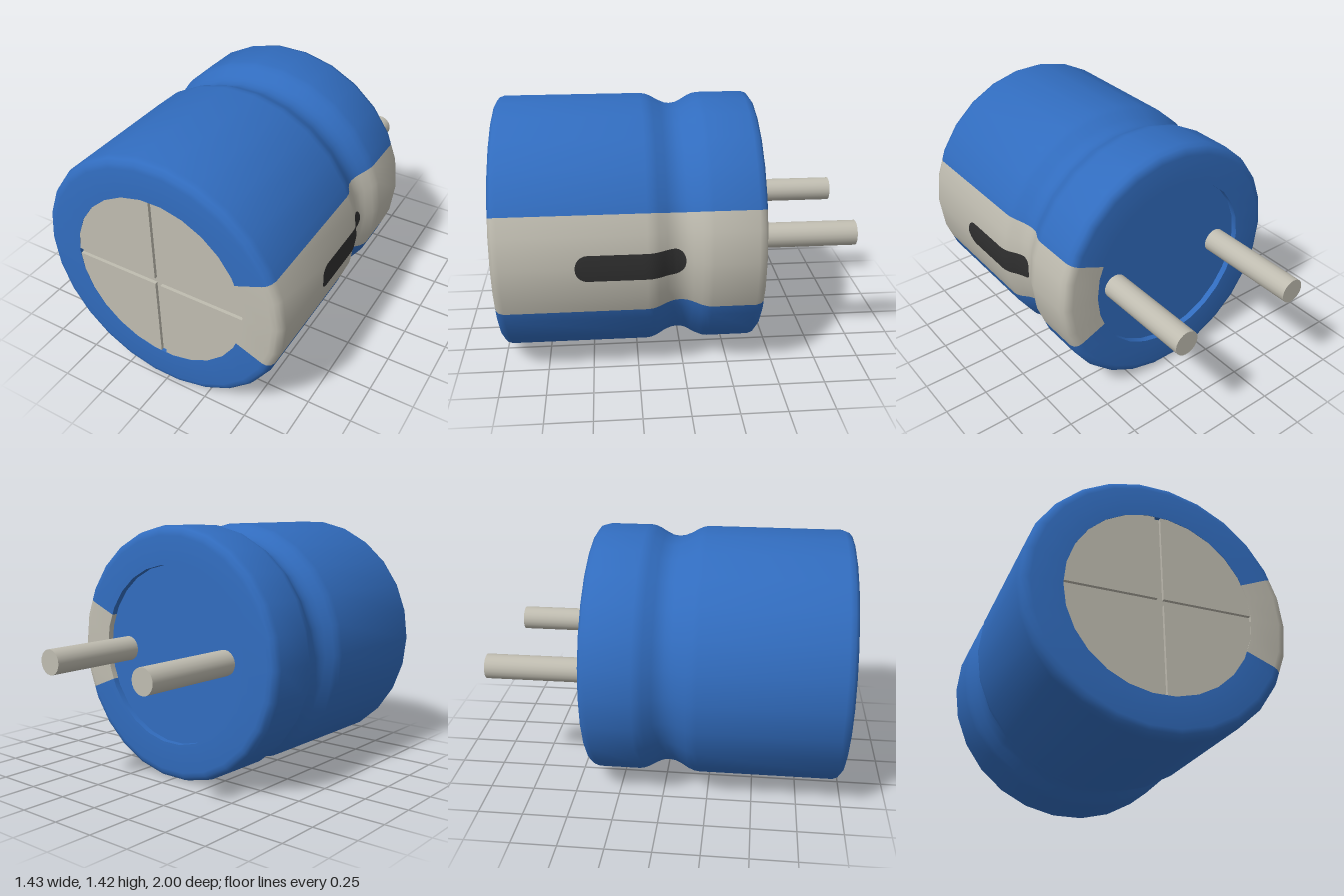
import * as THREE from 'three';
import { toCreasedNormals } from 'three/addons/utils/BufferGeometryUtils.js';

const SIDES = 26, STEP = (Math.PI * 2) / SIDES, R = 0.714, INNER = 0.5, HALF_STRIPE = Math.PI / 8;

// Sleeve outline as [radius, z], from the rear recess to the front opening
const PROFILE = [
  [INNER, -0.39], [INNER, -0.425], [0.66, -0.425], [0.685, -0.42], [0.704, -0.405], [R, -0.375],
  [R, -0.14], [0.71, -0.115], [0.698, -0.085], [0.672, -0.04], [0.658, -0.01], [0.653, 0.025],
  [0.658, 0.06], [0.672, 0.095], [0.698, 0.14], [0.71, 0.17], [R, 0.2],
  [R, 0.95], [0.704, 0.978], [0.685, 0.994], [0.66, 1], [INNER, 1], [INNER, 0.97],
];

// Keeps points between corners on the flat sides of the polygon
function flat(angle) {
  const a = ((angle % STEP) + STEP) % STEP;
  return Math.cos(STEP / 2) / Math.cos(a - STEP / 2);
}

function gridGeometry(rows, cols, point) {
  const pos = [], index = [];
  for (let i = 0; i < rows; i++) for (let j = 0; j < cols; j++) pos.push(...point(i, j));
  for (let i = 0; i < rows - 1; i++) for (let j = 0; j < cols - 1; j++) {
    const a = i * cols + j, b = a + 1, c = a + cols, d = c + 1;
    index.push(a, b, d, a, d, c);
  }
  const g = new THREE.BufferGeometry();
  g.setAttribute('position', new THREE.Float32BufferAttribute(pos, 3));
  g.setIndex(index);
  return toCreasedNormals(g, 0.7);
}

// Section of the sleeve between two angles
function sleeve(from, to) {
  const angles = [from];
  for (let k = Math.ceil(from / STEP + 1e-6); k * STEP < to - 1e-6; k++) angles.push(k * STEP);
  angles.push(to);
  return gridGeometry(PROFILE.length, angles.length, (i, j) => {
    const [r, z] = PROFILE[i], a = angles[j], f = r * flat(a);
    return [f * Math.cos(a), f * Math.sin(a), z];
  });
}

function radiusAt(z) {
  const i = PROFILE.findIndex((p, k) => k > 1 && p[1] >= z);
  const [r0, z0] = PROFILE[i - 1], [r1, z1] = PROFILE[i];
  return r0 + ((r1 - r0) * (z - z0)) / (z1 - z0);
}

// Long rounded mark that follows the sleeve surface
function markGeometry() {
  const rows = 49, z0 = 0, z1 = 0.57, half = 0.072, corner = 0.065;
  return gridGeometry(rows, 3, (i, j) => {
    const t = (1 - Math.cos((i / (rows - 1)) * Math.PI)) / 2;
    const z = z0 + (z1 - z0) * t;
    const d = Math.max(0, corner - Math.min(z - z0, z1 - z));
    const w = half - corner + Math.sqrt(Math.max(0, corner * corner - d * d));
    const y = (j - 1) * w;
    return [radiusAt(z) - Math.abs(y) * Math.tan(STEP / 2) + 0.004, y, z];
  });
}

// Quarter of the front plate, leaving half a channel on its straight sides
function quarterGeometry() {
  const gap = 0.016, s = new THREE.Shape();
  s.moveTo(gap, gap);
  s.lineTo(INNER - 0.002, gap);
  for (let k = 1; k * STEP < Math.PI / 2; k++) {
    s.lineTo(Math.max(gap, INNER * Math.cos(k * STEP)), INNER * Math.sin(k * STEP));
  }
  s.lineTo(gap, INNER * Math.cos(STEP / 2));
  return s;
}

export function createModel() {
  const blue = new THREE.MeshStandardMaterial({ color: 0x316cbe });
  blue.name = 'sleeve blue';
  const metal = new THREE.MeshStandardMaterial({ color: 0xbfbcb0 });
  metal.name = 'warm grey';
  const dark = new THREE.MeshStandardMaterial({ color: 0x2f2f2f });
  dark.name = 'mark black';

  const model = new THREE.Group();
  model.name = 'capacitor';
  model.position.set(-0.003, 0.715, 0);
  const add = (name, geometry, material) => {
    const mesh = new THREE.Mesh(geometry, material);
    mesh.name = name;
    model.add(mesh);
    return mesh;
  };

  // Sleeve with its polarity stripe and mark
  add('sleeve', sleeve(HALF_STRIPE, Math.PI * 2 - HALF_STRIPE), blue);
  add('stripe', sleeve(-HALF_STRIPE, HALF_STRIPE), metal);
  add('stripeMark', markGeometry(), dark);

  // Recessed rear base
  const base = add('rearBase', new THREE.CircleGeometry(INNER, SIDES), blue);
  base.rotation.y = Math.PI;
  base.position.z = -0.39;

  // Front plate: four raised quarters with a cross channel between them
  add('channelFloor', new THREE.CircleGeometry(INNER, SIDES), metal).position.z = 0.98;
  const quarter = quarterGeometry().getPoints();
  for (const sx of [1, -1]) for (const sy of [1, -1]) {
    const shape = new THREE.Shape(quarter.map((p) => new THREE.Vector2(p.x * sx, p.y * sy)));
    const g = new THREE.ExtrudeGeometry(shape, { depth: 0.018, bevelEnabled: false });
    add('frontPlateQuarter', g, metal).position.z = 0.98;
  }

  // Lead pins, one slightly longer
  for (const [x, end] of [[-0.358, -1], [0.358, -0.97]]) {
    const length = -0.38 - end;
    const pin = add('leadPin', new THREE.CylinderGeometry(0.07, 0.07, length, 20), metal);
    pin.rotation.x = Math.PI / 2;
    pin.position.set(x, 0, end + length / 2);
  }

  const root = new THREE.Group();
  root.name = 'model';
  root.add(model);
  return root;
}
